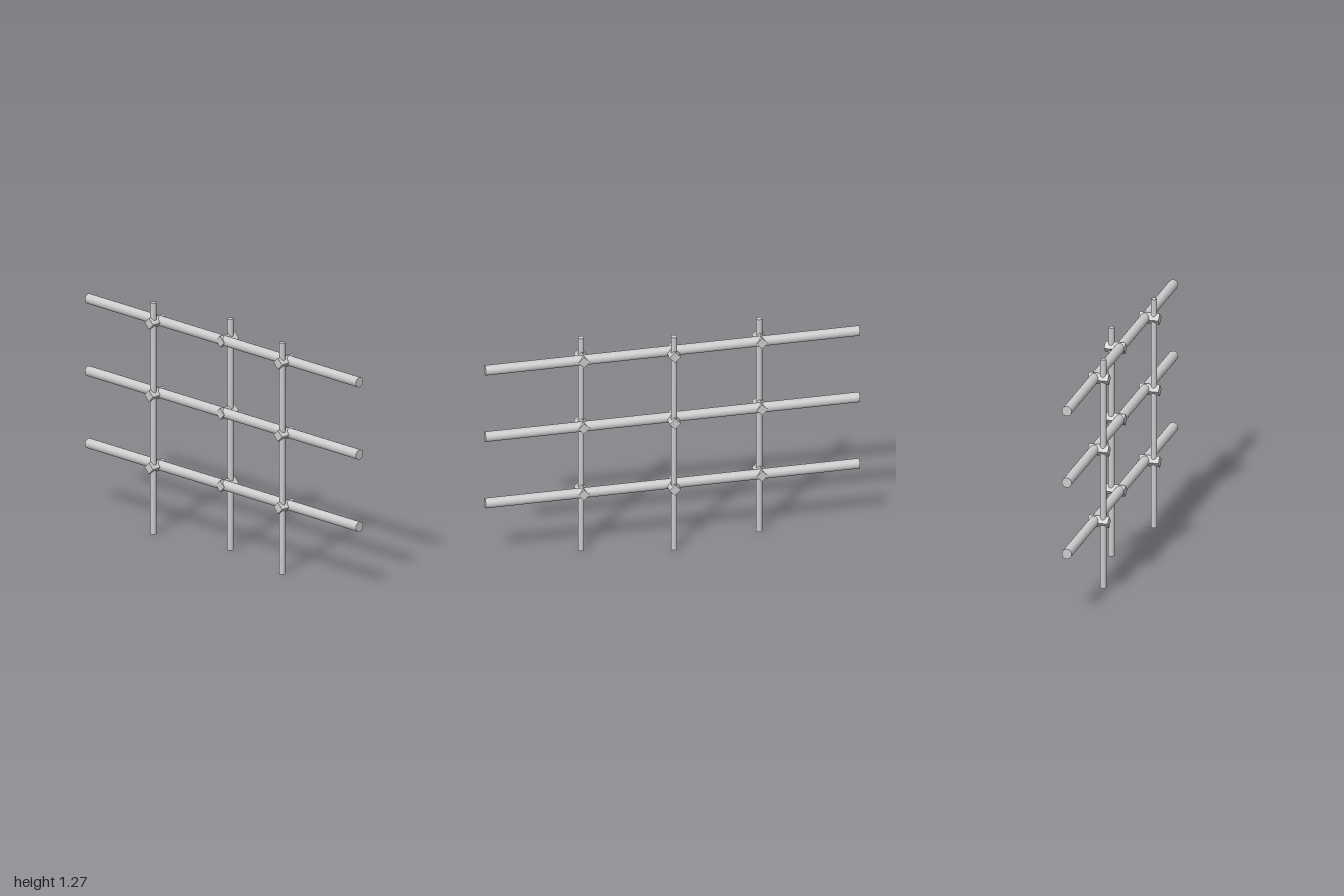
import * as THREE from 'three';

const RAIL_R = 0.027, POST_R = 0.0165, POST_H = 1.27, POST_X = 0.047;
const RAIL_Y = [0.366, 0.763, 1.16];
// Posts alternate between the two sides of the rails
const POSTS = [{ z: 0.476, side: -1 }, { z: 0, side: 1 }, { z: -0.476, side: -1 }];

export function createModel() {
  const group = new THREE.Group();
  const material = new THREE.MeshStandardMaterial({ color: 0xcccccc });

  const add = (name, geometry, x, y, z) => {
    const mesh = new THREE.Mesh(geometry, material);
    mesh.name = name;
    mesh.position.set(x, y, z);
    group.add(mesh);
  };

  // Long horizontal rails
  const rail = new THREE.CylinderGeometry(RAIL_R, RAIL_R, 2, 24).rotateX(Math.PI / 2);
  for (const y of RAIL_Y) add('rail', rail, 0, y, 0);

  // Upright posts, with a square clamp set on edge at each crossing
  const post = new THREE.CylinderGeometry(POST_R, POST_R, POST_H, 20);
  const clamp = new THREE.BoxGeometry(0.109, 0.044, 0.044).rotateX(Math.PI / 4);
  for (const { z, side } of POSTS) {
    add('post', post, side * POST_X, POST_H / 2, z);
    for (const y of RAIL_Y) add('clamp', clamp, side * 0.0245, y, z);
  }

  return group;
}
